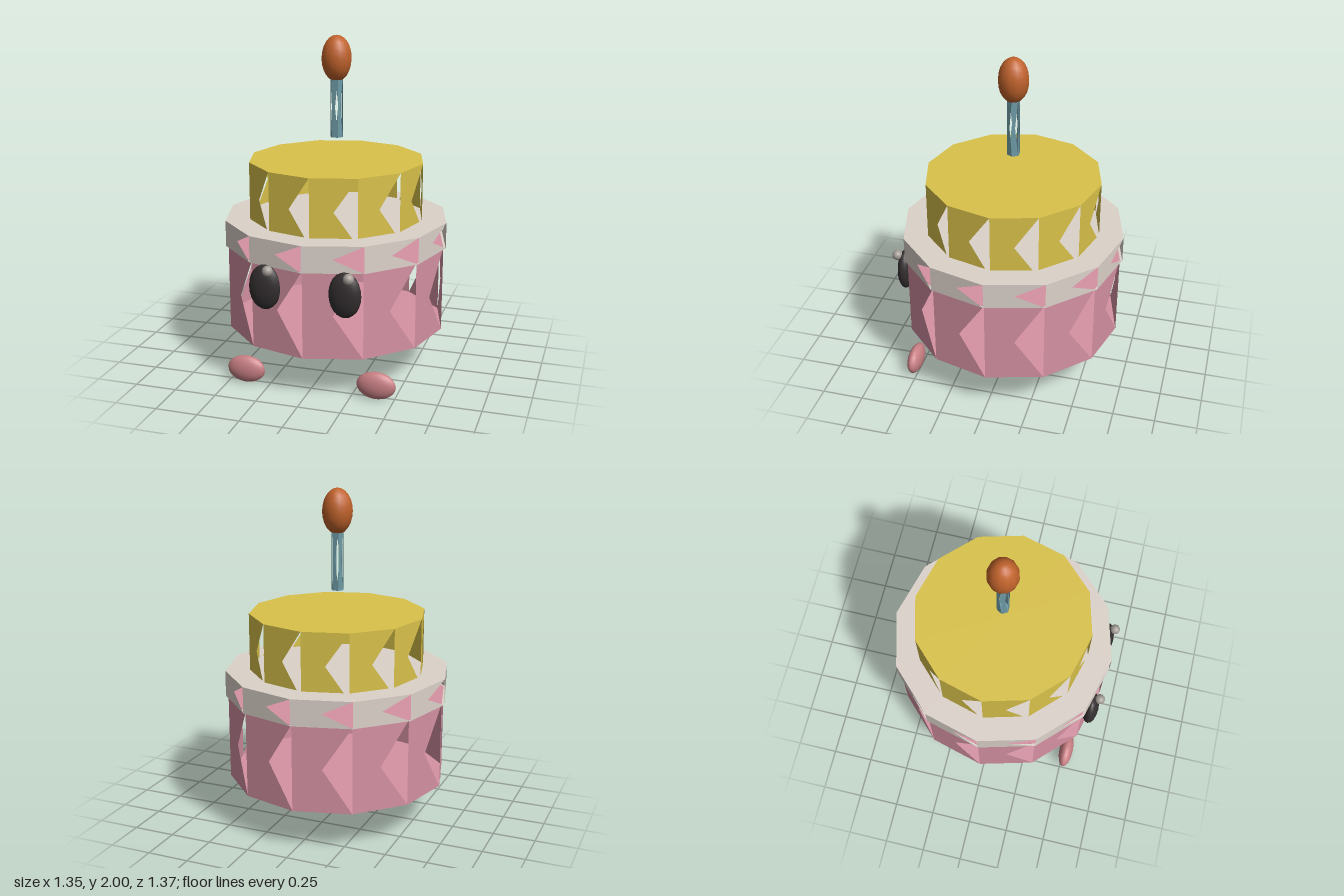
import * as THREE from 'three';

const CENTER_Z = -0.007;

const paint = (color, flat) => new THREE.MeshStandardMaterial({
  color, flatShading: flat, side: flat ? THREE.DoubleSide : THREE.FrontSide,
});

// Capped prism whose wall panels each have a triangular notch on their right side
function notchedPrism(name, sides, radius, y0, y1, color, start = 0) {
  const pos = [];
  const at = (i, y) => {
    const a = start + (i / sides) * Math.PI * 2;
    return [Math.sin(a) * radius, y, Math.cos(a) * radius];
  };
  for (let i = 0; i < sides; i++) {
    const bl = at(i, y0), br = at(i + 1, y0), tl = at(i, y1), tr = at(i + 1, y1);
    pos.push(...tl, ...bl, ...br); // lower half of the panel
    pos.push(...tl, ...bl, ...tr); // upper half, overlapping at the left
    pos.push(0, y1, 0, ...tl, ...tr); // top cap
    pos.push(0, y0, 0, ...br, ...bl); // bottom cap
  }
  const geo = new THREE.BufferGeometry();
  geo.setAttribute('position', new THREE.Float32BufferAttribute(pos, 3));
  geo.computeVertexNormals();
  const mesh = new THREE.Mesh(geo, paint(color, true));
  mesh.name = name;
  mesh.position.z = CENTER_Z;
  return mesh;
}

// Smooth ellipsoid from centre and half sizes
function ellipsoid(name, [x, y, z], [rx, ry, rz], color, segments = 16) {
  const geo = new THREE.SphereGeometry(1, segments, 12).scale(rx, ry, rz);
  const mesh = new THREE.Mesh(geo, paint(color, false));
  mesh.name = name;
  mesh.position.set(x, y, z);
  return mesh;
}

export function createModel() {
  const cake = new THREE.Group();
  cake.name = 'cake';

  // Tiers and icing
  cake.add(notchedPrism('lowerTier', 12, 0.66, 0.255, 0.77, 0xd591a3));
  cake.add(notchedPrism('icing', 12, 0.675, 0.768, 0.925, 0xdcd2ca));
  cake.add(notchedPrism('upperTier', 12, 0.527, 0.88, 1.27, 0xd9c24a));

  // Candle and flame
  cake.add(notchedPrism('candle', 6, 0.038, 1.4, 1.76, 0x6d9aa5, Math.PI / 6));
  cake.add(ellipsoid('flame', [0, 1.865, CENTER_Z], [0.09, 0.135, 0.09], 0xc0622b, 12));

  // Face and feet, mirrored; the eye highlights both shift toward +x
  for (const [side, s] of [['left', 1], ['right', -1]]) {
    cake.add(ellipsoid(side + 'Eye', [s * 0.235, 0.645, 0.61], [0.095, 0.133, 0.048], 0x332e2f));
    cake.add(ellipsoid(side + 'EyeHighlight', [s * 0.235 + 0.033, 0.755, 0.652], [0.031, 0.031, 0.031], 0xa39c95));
    cake.add(ellipsoid(side + 'Foot', [s * 0.395, 0.085, 0.52], [0.116, 0.082, 0.045], 0xc98085));
  }
  return cake;
}
